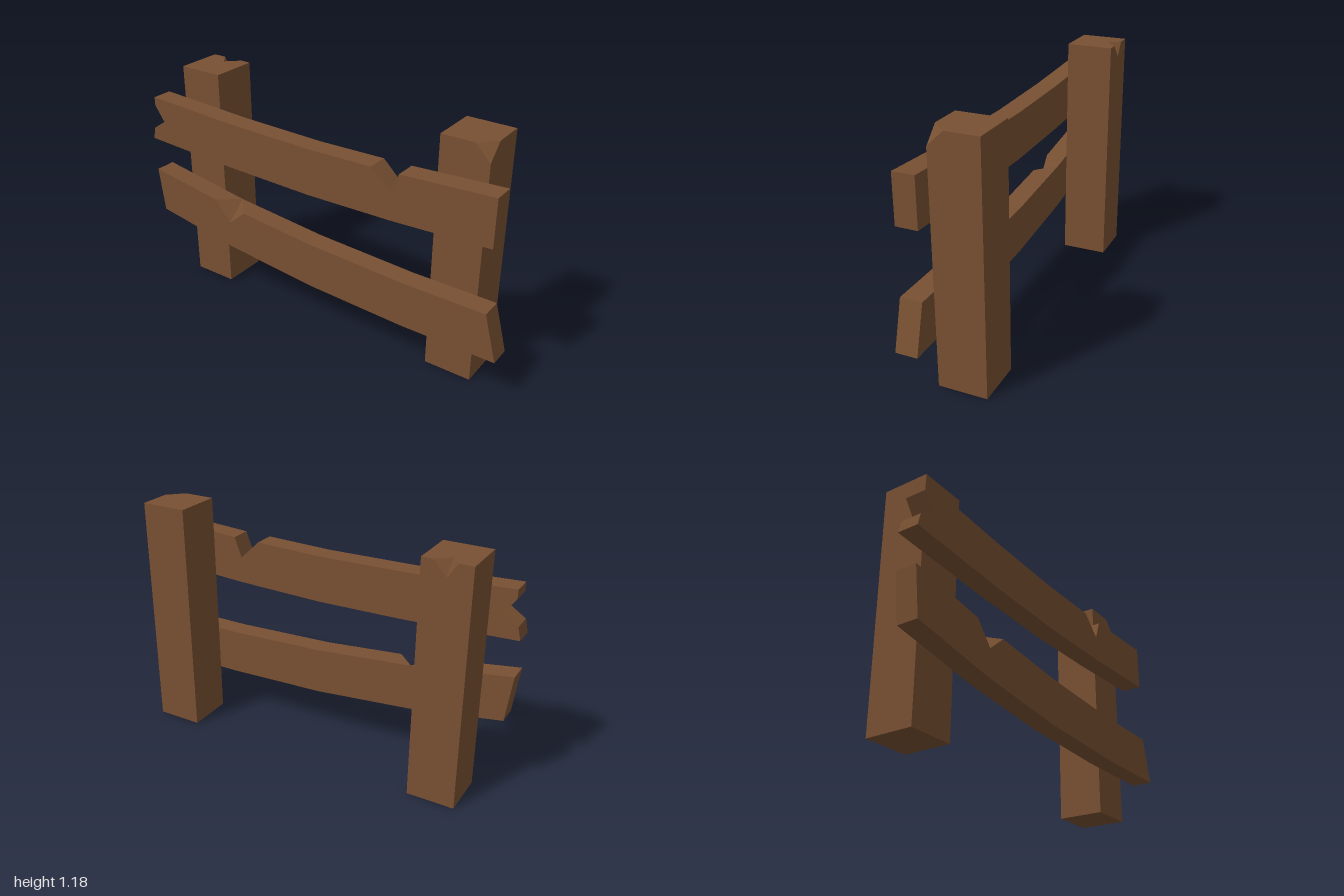
import * as THREE from 'three';

const wood = new THREE.MeshStandardMaterial({ color: 0x785032 });
wood.name = 'brown wood';

// Lofts a solid through [z, outline] sections ordered back to front.
// Outlines run counter-clockwise seen from the front and share a point count;
// repeated points collapse a chip to a single apex.
function loft(name, sections) {
  const pos = [];
  const tri = (a, b, c) => {
    const n = b.clone().sub(a).cross(c.clone().sub(a));
    if (n.length() > 1e-7) pos.push(...a, ...b, ...c);
  };
  const rings = sections.map(([z, pts]) => pts.map(([x, y]) => new THREE.Vector3(x, y, z)));

  // Sides
  for (let k = 0; k < rings.length - 1; k++) {
    const back = rings[k], front = rings[k + 1];
    back.forEach((a, i) => {
      const j = (i + 1) % back.length;
      tri(a, back[j], front[j]);
      tri(a, front[j], front[i]);
    });
  }

  // End caps
  const cap = (ring, facing) => {
    const pts = ring.filter((p, i) => !p.equals(ring[(i + 1) % ring.length]));
    const flat = pts.map((p) => new THREE.Vector2(p.x, p.y));
    for (const [i, j, k] of THREE.ShapeUtils.triangulateShape(flat, [])) {
      const area = THREE.ShapeUtils.area([flat[i], flat[j], flat[k]]);
      if (area * facing > 0) tri(pts[i], pts[j], pts[k]);
      else tri(pts[i], pts[k], pts[j]);
    }
  };
  cap(rings[0], -1);
  cap(rings[rings.length - 1], 1);

  const geo = new THREE.BufferGeometry();
  geo.setAttribute('position', new THREE.Float32BufferAttribute(pos, 3));
  geo.computeVertexNormals();
  const mesh = new THREE.Mesh(geo, wood);
  mesh.name = name;
  return mesh;
}

export function createModel() {
  const group = new THREE.Group();
  group.name = 'brokenFence';

  const H = 1.18, backZ = -0.17, midZ = 0.065, frontZ = 0.17;

  // Post on the model's left, front outer corner chipped off
  const leftPost = (...corner) => [[0.61, 0], [0.845, 0], ...corner, [0.61, H]];
  const whole = leftPost([0.845, H], [0.845, H]);
  group.add(loft('leftPost', [
    [backZ, whole],
    [-0.01, whole],
    [midZ, leftPost([0.845, 1.105], [0.77, H])],
  ]));

  // Post on the model's right, notch in the top of the back face
  const rightPost = (...notch) => [[-0.85, 0], [-0.617, 0], [-0.617, H], ...notch, [-0.85, H]];
  const apex = [-0.735, H];
  const closed = rightPost(apex, apex, apex);
  group.add(loft('rightPost', [
    [backZ, rightPost([-0.672, H], [-0.735, 1.11], [-0.78, H])],
    [-0.11, closed],
    [midZ, closed],
  ]));

  // Upper rail: sagging plank with a V notch and a split end
  const upper = [
    [-1, 0.79], [-0.45, 0.764], [0, 0.755], [0.45, 0.764], [0.938, 0.788],
    [0.938, 1.022], [0.483, 0.998], [0.445, 0.897], [0.343, 0.995],
    [0, 0.988], [-0.45, 0.997], [-0.967, 1.022], [-0.967, 0.978], [-0.912, 0.9], [-0.985, 0.852],
  ];
  group.add(loft('upperRail', [[midZ, upper], [frontZ, upper]]));

  // Lower rail: slanted ends, chip cut into its front top edge
  const lower = (...chip) => [
    [-0.967, 0.38], [-0.5, 0.305], [0, 0.256], [0.52, 0.236], [1, 0.237],
    [0.938, 0.468], [0.52, 0.468], [0, 0.49], ...chip, [-0.995, 0.612],
  ];
  const knot = [-0.5, 0.537];
  group.add(loft('lowerRail', [
    [midZ, lower(knot, knot, knot)],
    [frontZ, lower([-0.405, 0.528], [-0.5, 0.445], [-0.59, 0.551])],
  ]));

  return group;
}
